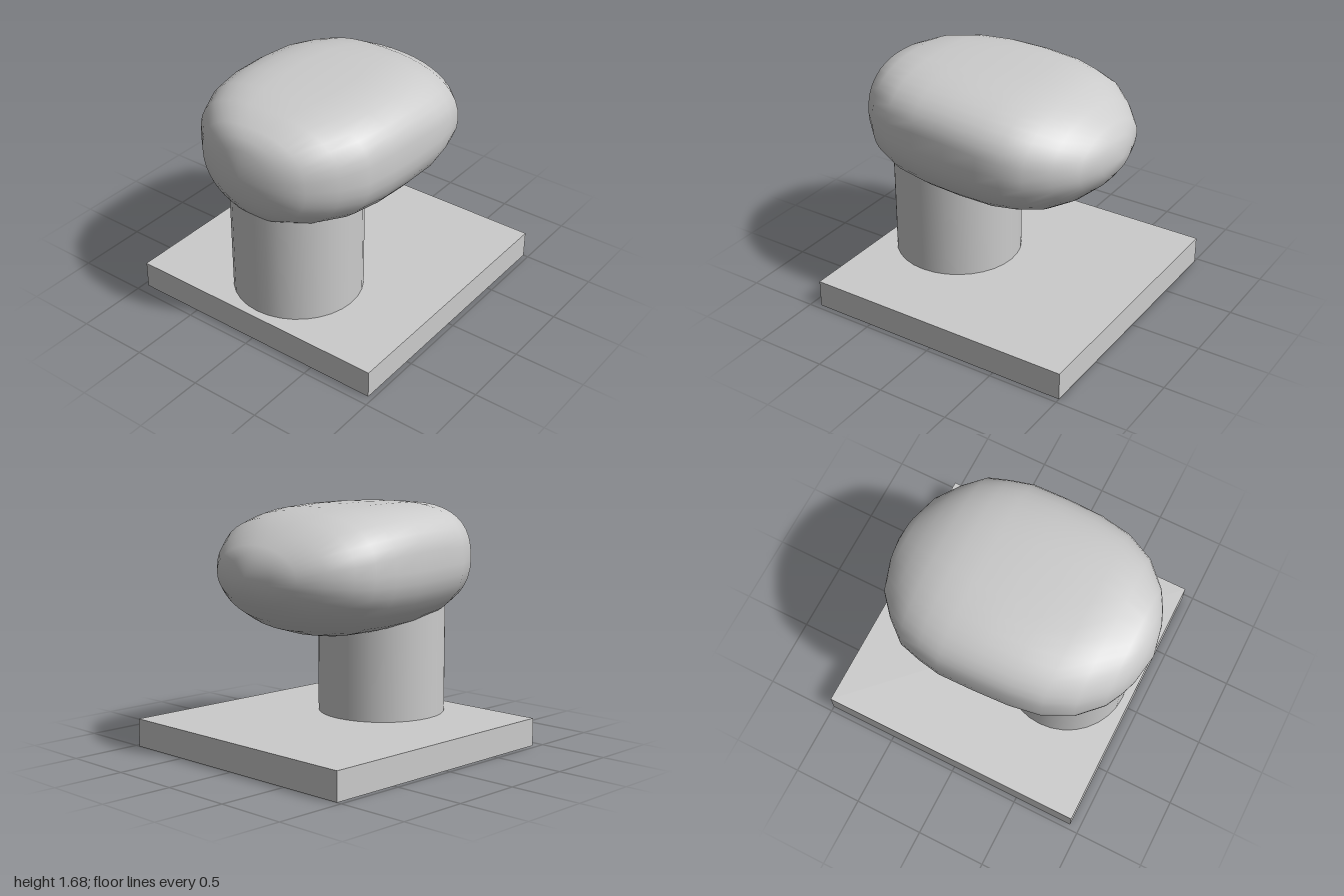
import * as THREE from 'three';
import { mergeVertices } from 'three/addons/utils/BufferGeometryUtils.js';

const material = new THREE.MeshStandardMaterial({ color: 0xcccccc });

// Cross-sections of the rounded head along x: x, top y, bottom y, widest y, half width, top squareness
const SECTIONS = [
  [-1.0, 1.31, 1.31, 1.31, 0, 2],
  [-0.96, 1.49, 1.13, 1.3, 0.21, 2.1],
  [-0.92, 1.55, 1.04, 1.3, 0.31, 2.2],
  [-0.86, 1.605, 0.955, 1.29, 0.42, 2.4],
  [-0.71, 1.662, 0.885, 1.29, 0.57, 2.6],
  [-0.52, 1.677, 0.835, 1.28, 0.66, 2.9],
  [-0.3, 1.68, 0.805, 1.28, 0.695, 3.1],
  [-0.05, 1.677, 0.795, 1.27, 0.705, 3.1],
  [0.2, 1.665, 0.8, 1.27, 0.71, 2.8],
  [0.36, 1.645, 0.825, 1.26, 0.68, 2.6],
  [0.51, 1.61, 0.87, 1.26, 0.64, 2.4],
  [0.65, 1.54, 0.945, 1.26, 0.52, 2.2],
  [0.77, 1.45, 1.05, 1.25, 0.38, 2],
  [0.83, 1.38, 1.13, 1.25, 0.2, 2],
  [0.87, 1.25, 1.25, 1.25, 0, 2],
];

// Signed power, used for the superellipse cross-sections
const spow = (v, p) => Math.sign(v) * Math.pow(Math.abs(v), p);

function headGeometry(segments = 40) {
  const positions = [];
  const index = [];
  const last = SECTIONS.length - 1;
  SECTIONS.forEach(([x, top, bottom, mid, halfWidth, square], i) => {
    for (let j = 0; j < segments; j++) {
      const a = (j / segments) * Math.PI * 2;
      const c = Math.cos(a), s = Math.sin(a);
      const p = 2 / (s > 0 ? square : 2.1);
      const height = s > 0 ? top - mid : mid - bottom;
      positions.push(x, mid + height * spow(s, p), halfWidth * spow(c, p));
      if (i === last) continue;
      const k = (j + 1) % segments;
      const a0 = i * segments + j, a1 = i * segments + k;
      const b0 = a0 + segments, b1 = a1 + segments;
      if (i < last - 1) index.push(a0, b0, b1);
      else index.push(a0, b0, a1);
      if (i > 0 && i < last - 1) index.push(a0, b1, a1);
    }
  });
  const geometry = new THREE.BufferGeometry();
  geometry.setAttribute('position', new THREE.Float32BufferAttribute(positions, 3));
  geometry.setIndex(index);
  // Weld the end tips so the shading stays smooth over them
  const welded = mergeVertices(geometry, 1e-4);
  welded.computeVertexNormals();
  return welded;
}

function addPart(group, name, geometry, x, y, z) {
  const mesh = new THREE.Mesh(geometry, material);
  mesh.name = name;
  mesh.position.set(x, y, z);
  group.add(mesh);
}

export function createModel() {
  const group = new THREE.Group();
  group.name = 'pedestalHead';

  // Square plinth
  addPart(group, 'base', new THREE.BoxGeometry(1.93, 0.195, 1.93), 0.035, 0.0975, 0);
  // Off-centre round column, running up into the head
  addPart(group, 'column', new THREE.CylinderGeometry(0.448, 0.448, 0.905, 32), -0.424, 0.6475, 0);
  // Rounded, flat-topped head
  addPart(group, 'head', headGeometry(), 0, 0, 0);

  return group;
}
